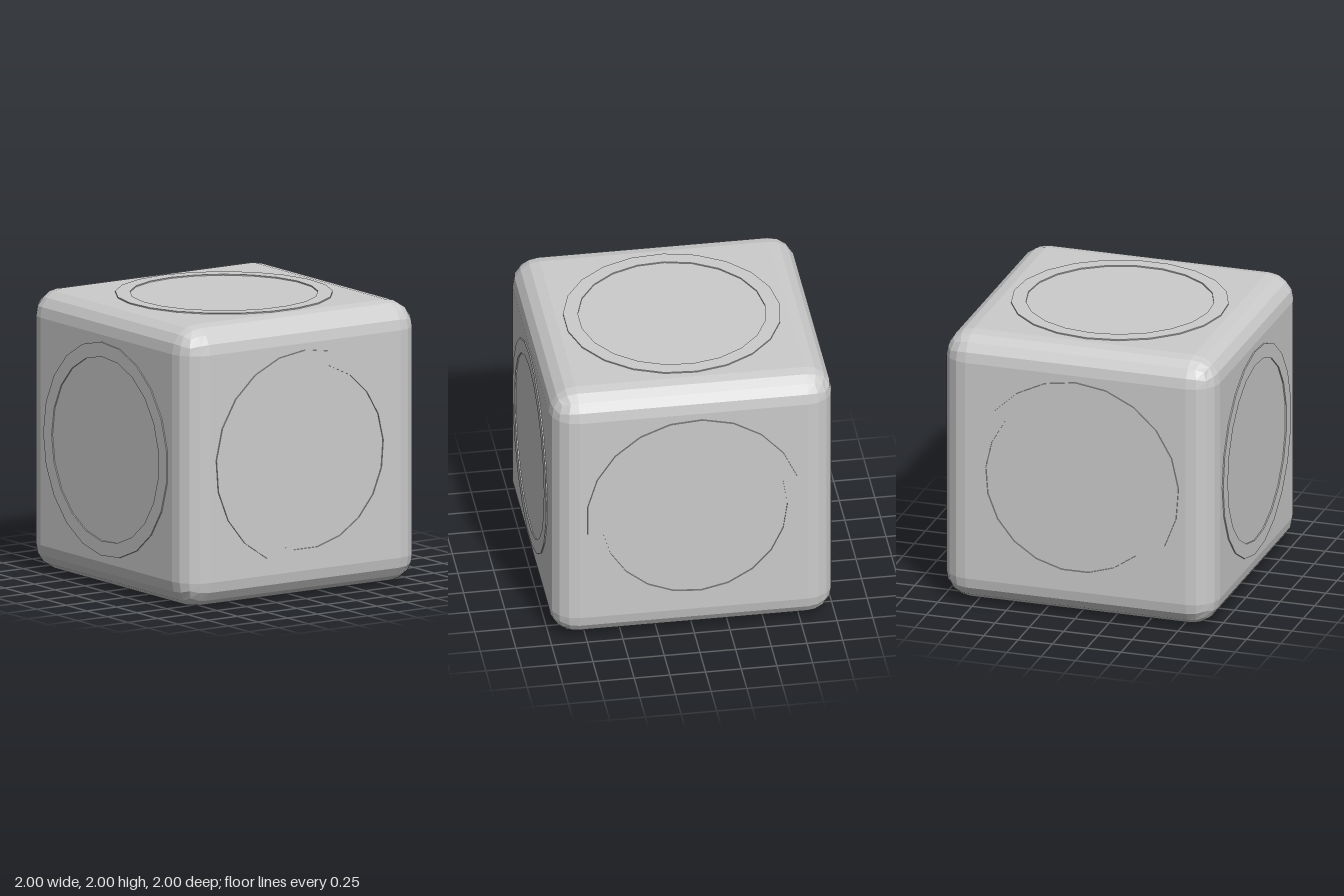
import * as THREE from 'three';

const HALF = 0.992, RADIUS = 0.19, SIDES = 21, DEPTH = 0.05;

// Cube with four flat bands around every rounded edge
function roundedCube() {
  const geo = new THREE.BoxGeometry(2, 2, 2, 5, 5, 5);
  const pos = geo.attributes.position;
  const steps = [0, Math.tan(Math.PI / 8), 1];
  const core = HALF - RADIUS;
  const p = new THREE.Vector3(), dir = new THREE.Vector3();
  const bend = (v) => Math.sign(v) * steps[Math.round((Math.abs(v) - 0.2) / 0.4)];
  for (let i = 0; i < pos.count; i++) {
    p.fromBufferAttribute(pos, i);
    dir.set(bend(p.x), bend(p.y), bend(p.z)).setLength(RADIUS);
    pos.setXYZ(i, Math.sign(p.x) * core + dir.x, Math.sign(p.y) * core + dir.y, Math.sign(p.z) * core + dir.z);
  }
  geo.computeVertexNormals();
  return geo;
}

// Regular polygon with one corner pointing up
function polygon(radius) {
  return Array.from({ length: SIDES }, (_, i) => {
    const a = (i / SIDES) * Math.PI * 2;
    return new THREE.Vector2(-Math.sin(a) * radius, Math.cos(a) * radius);
  });
}

export function createModel() {
  const model = new THREE.Group();
  const material = new THREE.MeshStandardMaterial({ color: 0xcccccc, flatShading: true });

  const body = new THREE.Mesh(roundedCube(), material);
  body.name = 'body';
  body.position.y = 1;
  model.add(body);

  // Thin raised ring, shared by all six faces
  const shape = new THREE.Shape(polygon(0.755));
  shape.holes.push(new THREE.Path(polygon(0.652)));
  const ringGeo = new THREE.ExtrudeGeometry(shape, { depth: DEPTH, bevelEnabled: false });

  // One pair of opposite rings per axis: [name, ring up, outward]
  const axes = [
    ['frontBackRings', new THREE.Vector3(0, 1, 0), new THREE.Vector3(0, 0, 1)],
    ['leftRightRings', new THREE.Vector3(0, 0, -1), new THREE.Vector3(1, 0, 0)],
    ['topBottomRings', new THREE.Vector3(0, 0, -1), new THREE.Vector3(0, 1, 0)],
  ];
  for (const [name, up, out] of axes) {
    const pair = new THREE.Group();
    pair.name = name;
    const side = new THREE.Vector3().crossVectors(up, out);
    pair.quaternion.setFromRotationMatrix(new THREE.Matrix4().makeBasis(side, up, out));
    pair.position.y = 1;
    for (const z of [1 - DEPTH, -1]) {
      const ring = new THREE.Mesh(ringGeo, material);
      ring.name = 'ring';
      ring.position.z = z;
      pair.add(ring);
    }
    model.add(pair);
  }
  return model;
}
